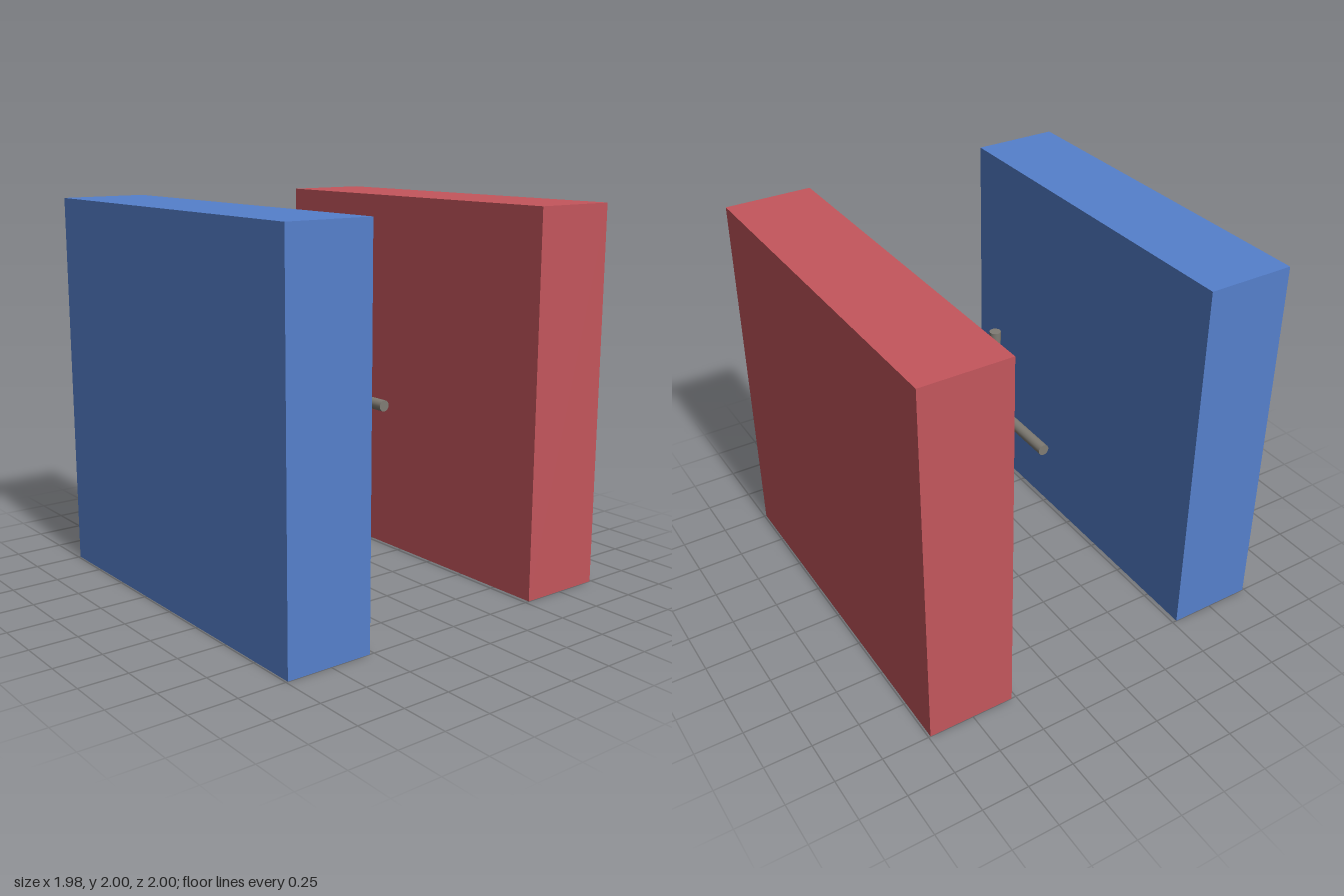
import * as THREE from 'three';

export function createModel() {
  const model = new THREE.Group();

  const add = (name, geometry, color, x, y, z) => {
    const mesh = new THREE.Mesh(geometry, new THREE.MeshStandardMaterial({ color }));
    mesh.name = name;
    mesh.position.set(x, y, z);
    model.add(mesh);
    return mesh;
  };

  // Two upright slabs facing each other, red on the left (+x), blue on the right
  const slab = new THREE.BoxGeometry(0.465, 2, 2);
  add('leftSlab', slab, 0xc4565c, 0.757, 1, 0);
  add('rightSlab', slab, 0x5580cc, -0.757, 1, 0);

  // Continuous horizontal rod running front to back
  const radius = 0.029;
  const axle = add('horizontalRod', new THREE.CylinderGeometry(radius, radius, 0.926, 16), 0x807c74, 0, 1, 0);
  axle.rotation.x = Math.PI / 2;

  // Upright rods above and below, each with a gap to the horizontal rod
  const upright = new THREE.CylinderGeometry(radius, radius, 0.378, 16);
  add('upperRod', upright, 0x807c74, 0, 1.274, 0);
  add('lowerRod', upright, 0x807c74, 0, 0.726, 0);

  return model;
}
